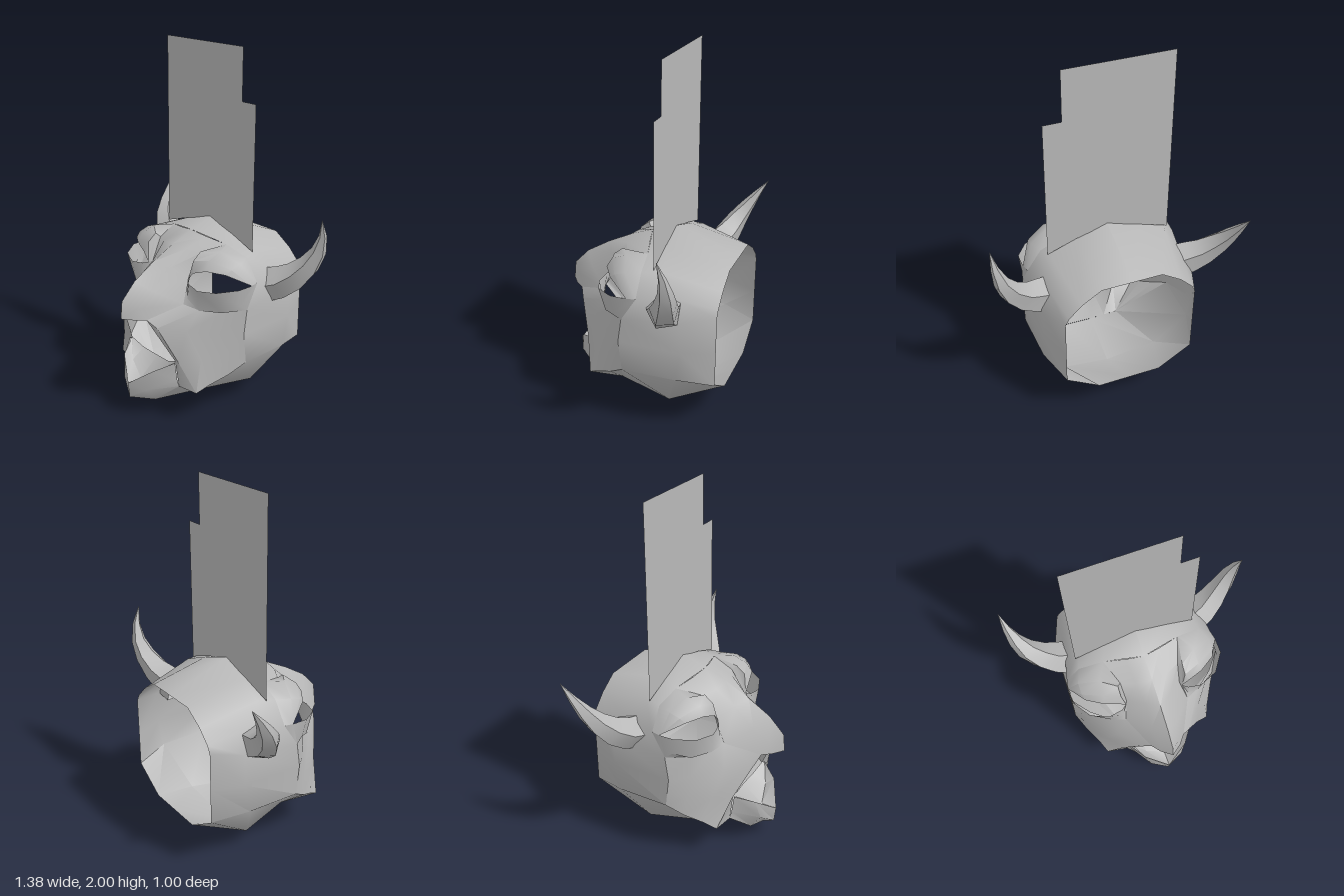
import * as THREE from 'three';
import { mergeVertices, toCreasedNormals } from 'three/addons/utils/BufferGeometryUtils.js';

const gray = new THREE.MeshStandardMaterial({ color: 0xb8b8b8, side: THREE.DoubleSide });
gray.name = 'plain gray';

// Surface through rows of equally many points
function loft(rows) {
  const n = rows[0].length;
  const index = [];
  for (let r = 0; r < rows.length - 1; r++) {
    for (let c = 0; c < n - 1; c++) {
      const a = r * n + c, b = a + n;
      index.push(a, b, a + 1, a + 1, b, b + 1);
    }
  }
  const geo = new THREE.BufferGeometry();
  geo.setAttribute('position', new THREE.Float32BufferAttribute(rows.flat(2), 3));
  geo.setIndex(index);
  return toCreasedNormals(mergeVertices(geo), 0.85);
}

const flip = ([x, y, z]) => [-x, y, z];
// Extend a row that starts on the centre line to the other side
const whole = (row) => [...row.slice(1).reverse().map(flip), ...row];

export function createModel() {
  const model = new THREE.Group();
  model.name = 'hornedMask';
  const add = (name, geo) => {
    const mesh = new THREE.Mesh(geo, gray);
    mesh.name = name;
    model.add(mesh);
  };
  const addCentral = (name, rows) => add(name, loft(rows.map(whole)));
  const addPair = (name, rows) => {
    add('left' + name, loft(rows));
    add('right' + name, loft(rows.map((row) => row.map(flip).reverse())));
  };

  // Shared corners of the face
  const browIn = [0.22, 0.95, -0.06], browOut = [0.36, 0.91, -0.08];
  const eyeOut = [0.44, 0.79, -0.08], eyeIn = [0.16, 0.79, 0.15];
  const browFront = [0.17, 0.92, 0.08], underEye = [0.19, 0.67, 0.22];
  const cheekTop = [0.45, 0.66, 0], cheekLow = [0.45, 0.35, 0];
  const jawCorner = [0.17, 0.1, 0.12], lipCorner = [0.21, 0.2, 0.27];
  const nostril = [0.1, 0.6, 0.4], mouthSide = [0.19, 0.35, 0.28];

  // Hollow back of the head, open at the rear, from crown to chin
  addCentral('headShell', [
    [[0, 0.91, -0.5], [0.17, 0.91, -0.5], [0.28, 0.84, -0.5], [0.35, 0.77, -0.5], [0.37, 0.73, -0.5],
      [0.37, 0.52, -0.5], [0.37, 0.32, -0.5], [0.18, 0.2, -0.5], [0, 0.2, -0.5]],
    [[0, 1.04, -0.15], [0.18, 0.98, -0.16], [0.33, 0.92, -0.18], [0.39, 0.81, -0.28], [0.44, 0.7, -0.33],
      [0.44, 0.52, -0.33], [0.44, 0.35, -0.3], [0.28, 0.1, -0.21], [0, 0.005, -0.16]],
    [[0, 0.99, 0], browIn, browOut, eyeOut, cheekTop, [0.45, 0.52, 0.02], cheekLow, jawCorner, [0, 0.095, 0.12]],
  ]);

  // Forehead running down into the nose and its underside
  addCentral('foreheadAndNose', [
    [[0, 0.99, 0], [0.1, 0.97, -0.025], browIn],
    [[0, 0.94, 0.13], [0.09, 0.93, 0.12], browFront],
    [[0, 0.87, 0.27], [0.07, 0.84, 0.22], eyeIn],
    [[0, 0.79, 0.4], [0.08, 0.74, 0.34], underEye],
    [[0, 0.7, 0.485], [0.06, 0.66, 0.43], nostril],
    [[0, 0.6, 0.495], [0.06, 0.6, 0.45], nostril],
    [[0, 0.59, 0.4], [0.05, 0.59, 0.39], nostril],
  ]);

  // Cheeks beside the open mouth, flaring out at the jaw
  const jawLine = [lipCorner, [0.33, 0.2, 0.25], [0.36, 0.24, 0.18], [0.41, 0.29, 0.09], cheekLow];
  addPair('Cheek', [
    [underEye, underEye, [0.27, 0.65, 0.18], [0.37, 0.65, 0.1], cheekTop],
    [nostril, [0.15, 0.56, 0.37], [0.25, 0.54, 0.25], [0.37, 0.52, 0.11], [0.45, 0.52, 0.02]],
    [mouthSide, [0.24, 0.37, 0.3], [0.32, 0.38, 0.21], [0.4, 0.41, 0.1], [0.45, 0.44, 0.01]],
    jawLine,
  ]);
  addPair('JawUnderside', [jawLine, jawLine.map(() => jawCorner)]);

  // Lower jaw with a dished lip
  addCentral('lowerJaw', [
    [[0, 0.095, 0.12], [0.09, 0.098, 0.12], jawCorner],
    [[0, 0.08, 0.38], [0.1, 0.1, 0.35], lipCorner],
    [[0, 0.11, 0.45], [0.1, 0.18, 0.41], [0.2, 0.24, 0.275]],
    [[0, 0.2, 0.46], [0.13, 0.3, 0.385], [0.2, 0.345, 0.29]],
    [[0, 0.2, 0.37], [0.11, 0.26, 0.34], [0.19, 0.345, 0.285]],
    [[0, 0.3, 0.25], [0.11, 0.31, 0.26], mouthSide],
  ]);

  // Bulging lids around the eye openings
  const inner = [0.17, 0.79, 0.17], outer = [0.45, 0.79, -0.03];
  addPair('UpperLid', [
    [eyeIn, browFront, browIn, browOut, eyeOut],
    [inner, [0.19, 0.94, 0.1], [0.28, 0.95, 0.04], [0.39, 0.905, 0], outer],
    [inner, [0.19, 0.9, 0.15], [0.28, 0.92, 0.12], [0.39, 0.885, 0.06], outer],
    [inner, [0.21, 0.84, 0.17], [0.29, 0.87, 0.15], [0.38, 0.86, 0.09], outer],
  ]);
  addPair('LowerLid', [
    [eyeIn, underEye, [0.27, 0.65, 0.18], [0.37, 0.65, 0.1], cheekTop, eyeOut],
    [inner, [0.2, 0.7, 0.2], [0.27, 0.65, 0.185], [0.38, 0.655, 0.12], [0.44, 0.69, 0.04], outer],
    [inner, [0.2, 0.78, 0.19], [0.28, 0.77, 0.2], [0.38, 0.78, 0.16], [0.45, 0.79, 0.06], outer],
  ]);

  // Tapered, curved horns; the two bend differently
  const horn = (points) => {
    const curve = new THREE.CatmullRomCurve3(points.map((p) => new THREE.Vector3(...p)));
    const rows = [];
    for (let i = 0; i <= 6; i++) {
      const t = i / 6, c = curve.getPoint(t), dir = curve.getTangent(t);
      const up = new THREE.Vector3(0, 0, 1).cross(dir).normalize();
      const side = dir.clone().cross(up);
      const r = 0.1 * (1 - t ** 1.4);
      rows.push(Array.from({ length: 6 }, (_, k) => {
        const a = (k % 5) / 5 * Math.PI * 2 + 0.3;
        return c.clone().addScaledVector(up, r * Math.cos(a)).addScaledVector(side, r * Math.sin(a)).toArray();
      }));
    }
    return loft(rows);
  };
  add('leftHorn', horn([[0.38, 0.73, -0.22], [0.5, 0.78, -0.26], [0.6, 0.88, -0.305], [0.66, 1.01, -0.325], [0.685, 1.16, -0.29]]));
  add('rightHorn', horn([[-0.38, 0.73, -0.23], [-0.5, 0.77, -0.26], [-0.6, 0.86, -0.31], [-0.655, 0.97, -0.38], [-0.685, 1.1, -0.47]]));

  // Flat notched panel standing on the crown
  const outline = [[-0.36, 0.92], [-0.18, 0.98], [0, 1.03], [0.18, 0.98], [0.34, 0.92],
    [0.34, 1.72], [0.24, 1.72], [0.24, 2], [-0.36, 2]];
  const panel = new THREE.ShapeGeometry(new THREE.Shape(outline.map((p) => new THREE.Vector2(...p))));
  add('crownPanel', panel.translate(0, 0, -0.14));

  return model;
}
